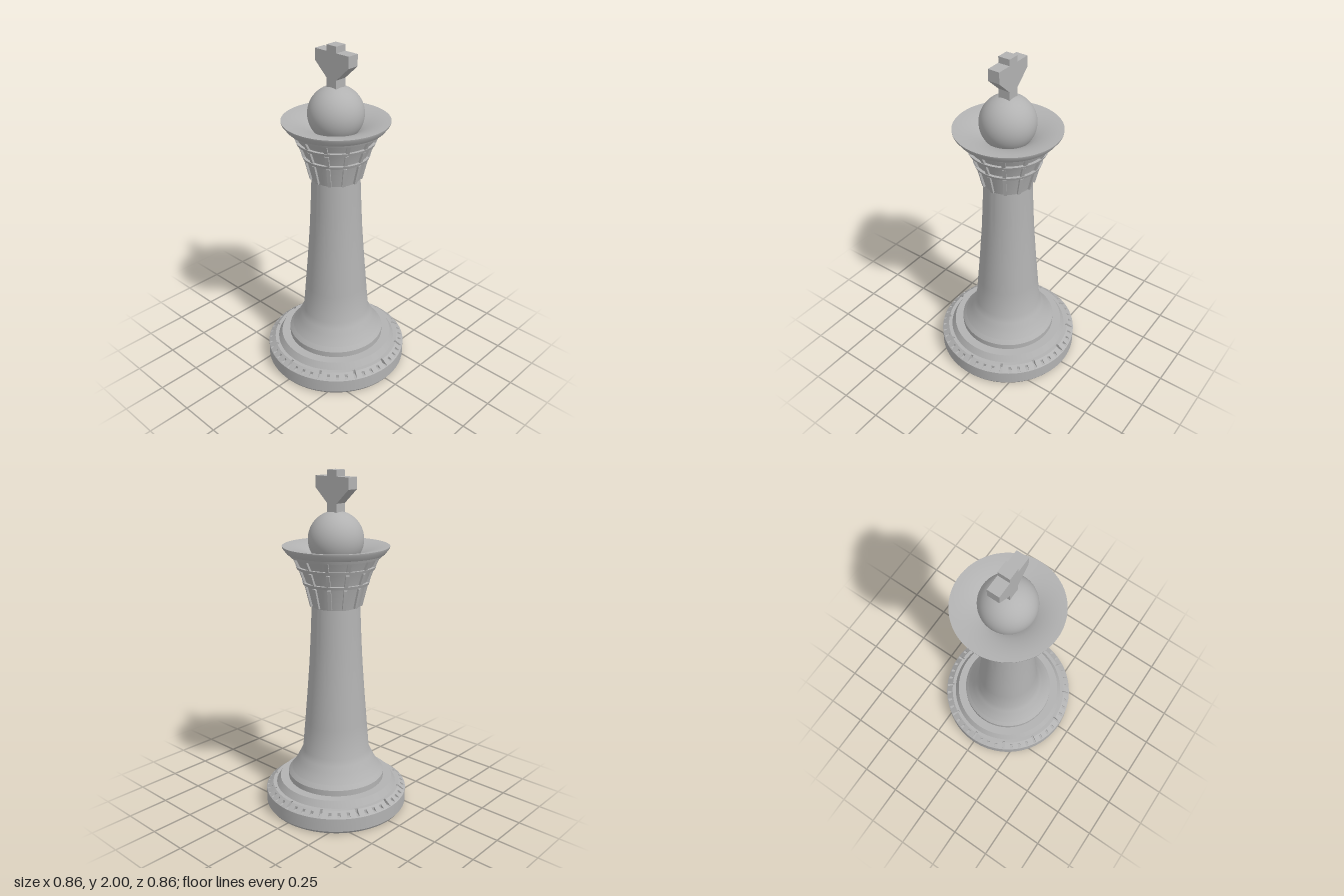
import * as THREE from 'three';
import { toCreasedNormals } from 'three/addons/utils/BufferGeometryUtils.js';

export function createModel() {
  const model = new THREE.Group();
  const stone = new THREE.MeshStandardMaterial({ color: 0xb2b2b2 });

  const add = (name, geometry, parent = model) => {
    const mesh = new THREE.Mesh(geometry, stone);
    mesh.name = name;
    parent.add(mesh);
    return mesh;
  };
  const lathe = (name, points, crease = 0.5) => add(name, toCreasedNormals(
    new THREE.LatheGeometry(points.map(p => new THREE.Vector2(...p)), 96), crease));

  // Base disc with a small chamfer below
  lathe('baseDisc', [[0, 0], [0.418, 0], [0.428, 0.015], [0.428, 0.095]]);

  // Sloped ring with 48 cut notches, every fourth one longer
  const plain = [[0.428, 0.095], [0.422, 0.0997], [0.397, 0.119], [0.397, 0.119], [0.387, 0.127], [0.36, 0.127]];
  const short = [[0.428, 0.095], [0.422, 0.0997], [0.397, 0.0997], [0.397, 0.119], [0.387, 0.127], [0.36, 0.127]];
  const long = [[0.428, 0.095], [0.425, 0.0973], [0.377, 0.0973], [0.377, 0.127], [0.377, 0.127], [0.36, 0.127]];
  const columns = [];
  const step = Math.PI / 24;
  for (let i = 0; i < 48; i++) {
    const half = i % 4 === 0 ? 0.02 : 0.022;
    const cut = i % 4 === 0 ? long : short;
    const a = i * step;
    columns.push([a - half, plain], [a - half, cut], [a + half, cut], [a + half, plain], [a + step / 2, plain]);
  }
  columns.push([Math.PI * 2 - 0.02, plain]);
  const positions = [];
  const point = ([angle, profile], j) =>
    [profile[j][0] * Math.sin(angle), profile[j][1], profile[j][0] * Math.cos(angle)];
  for (let i = 0; i < columns.length - 1; i++) {
    for (let j = 0; j < plain.length - 1; j++) {
      const a = point(columns[i], j), b = point(columns[i + 1], j);
      const c = point(columns[i + 1], j + 1), d = point(columns[i], j + 1);
      positions.push(...a, ...b, ...c, ...a, ...c, ...d);
    }
  }
  const ring = new THREE.BufferGeometry();
  ring.setAttribute('position', new THREE.Float32BufferAttribute(positions, 3));
  add('notchedRing', toCreasedNormals(ring, 0.4));

  // Upper steps of the base
  lathe('baseSteps', [[0.365, 0.127], [0.342, 0.165], [0.29, 0.165], [0.29, 0.2], [0.27, 0.225]]);

  // Tapering shaft with a flared foot
  lathe('shaft', [[0.272, 0.222], [0.252, 0.25], [0.234, 0.283], [0.217, 0.318], [0.2, 0.352],
    [0.185, 0.53], [0.17, 0.71], [0.156, 0.9], [0.148, 1.05], [0.14, 1.24]]);

  // Flared head behind the lattice
  const flare = [[0.14, 1.24], [0.172, 1.37], [0.205, 1.46], [0.247, 1.545]];
  lathe('flaredHead', flare);

  // Lattice rings
  [[0.188, 1.368], [0.222, 1.457], [0.258, 1.525]].forEach(([r, y]) => lathe('latticeRing', [
    [r - 0.03, y], [r, y], [r + 0.007, y + 0.017], [r - 0.025, y + 0.017]], 0.3));

  // Twelve rows of slanted ribs, one piece per tier
  for (let i = 0; i < 12; i++) {
    const row = new THREE.Group();
    row.name = 'ribRow';
    row.rotation.y = i * Math.PI / 6;
    model.add(row);
    for (let k = 0; k < 3; k++) {
      const [r0, y0] = flare[k], [r1, y1] = flare[k + 1];
      const length = Math.hypot(r1 - r0, y1 - y0) - 0.012;
      const rib = add('rib', new THREE.BoxGeometry(0.02, length, 0.024), row);
      rib.position.set(0, (y0 + y1) / 2, (r0 + r1) / 2);
      rib.rotation.x = Math.atan2(r1 - r0, y1 - y0);
    }
  }

  // Rim and the sunken bowl
  lathe('rimBowl', [[0.235, 1.543], [0.278, 1.543], [0.302, 1.575], [0.304, 1.585],
    [0.27, 1.582], [0.235, 1.575], [0.2, 1.565], [0.165, 1.55], [0.135, 1.533], [0.1, 1.5], [0, 1.48]]);

  // Ball
  add('ball', new THREE.SphereGeometry(0.158, 64, 40)).position.y = 1.62;

  // Cross finial
  const half = [[0.035, 1.75], [0.035, 1.82], [0.122, 1.9], [0.122, 1.965], [0.035, 1.965], [0.035, 2]];
  const outline = [...half, ...half.map(([x, y]) => [-x, y]).reverse()];
  const cross = new THREE.ExtrudeGeometry(
    new THREE.Shape(outline.map(p => new THREE.Vector2(...p))), { depth: 0.07, bevelEnabled: false });
  cross.translate(0, 0, -0.035);
  add('crossFinial', cross);

  return model;
}
